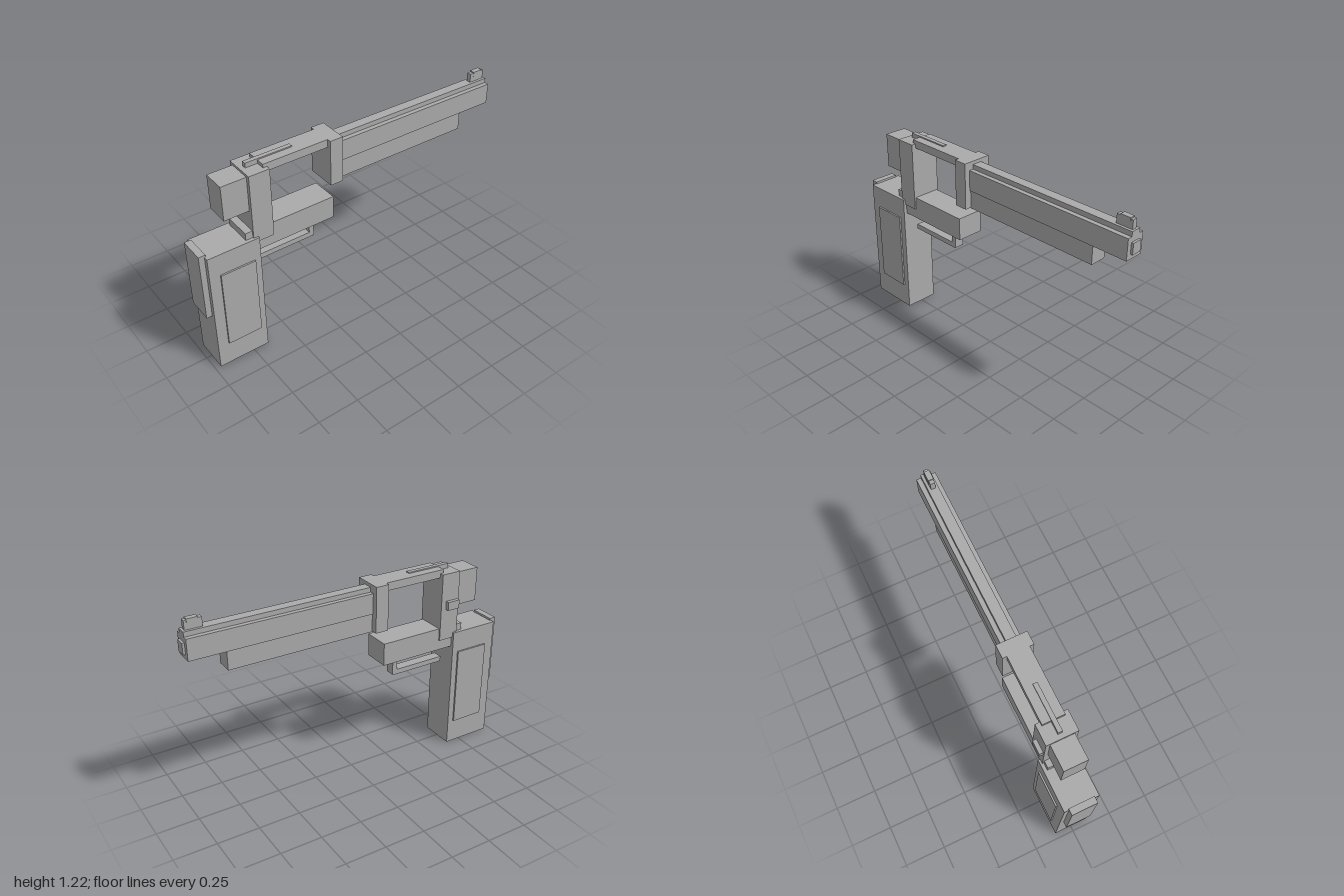
import * as THREE from 'three';

export function createModel() {
  const model = new THREE.Group();
  const grey = new THREE.MeshStandardMaterial({ color: 0xaaaaaa });
  grey.name = 'grey metal';

  // Block given by its limits on each axis
  function block(name, [x0, x1], [y0, y1], [z0, z1]) {
    const mesh = new THREE.Mesh(new THREE.BoxGeometry(x1 - x0, y1 - y0, z1 - z0), grey);
    mesh.position.set((x0 + x1) / 2, (y0 + y1) / 2, (z0 + z1) / 2);
    mesh.name = name;
    model.add(mesh);
  }
  // Block centred across the width
  const centred = (name, half, y, z) => block(name, [-half, half], y, z);

  // Handle
  centred('grip', 0.104, [0, 0.772], [0.657, 0.967]);
  centred('backstrap', 0.077, [0.367, 0.785], [0.96, 1]);
  for (const [name, s] of [['leftGripPanel', 1], ['rightGripPanel', -1]]) {
    const side = [s * 0.1, s * 0.114].sort((a, b) => a - b);
    block(name, side, [0.15, 0.64], [0.695, 0.904]);
  }

  // Open frame
  centred('lowerFrame', 0.083, [0.677, 0.815], [0.17, 0.728]);
  centred('rearFrame', 0.092, [0.74, 1.157], [0.562, 0.685]);
  centred('topStrap', 0.065, [1.13, 1.178], [0.185, 0.585]);
  centred('frontFrame', 0.09, [0.9, 1.178], [0.107, 0.188]);
  centred('hammer', 0.069, [0.935, 1.143], [0.68, 0.833]);
  block('latch', [-0.115, -0.085], [0.935, 0.987], [0.595, 0.675]);
  centred('rearSight', 0.013, [1.15, 1.185], [0.377, 0.657]);

  // Barrel group
  centred('barrel', 0.057, [1.007, 1.13], [-0.987, 0.12]);
  centred('barrelRib', 0.03, [1.12, 1.158], [-0.987, 0.12]);
  centred('underlug', 0.05, [0.896, 1.01], [-0.776, 0.13]);
  centred('muzzle', 0.03, [1.035, 1.1], [-1, -0.98]);
  centred('frontSightBase', 0.014, [1.15, 1.21], [-0.975, -0.877]);
  centred('frontSightBlade', 0.016, [1.185, 1.217], [-0.96, -0.9]);

  // Trigger guard
  centred('guardPost', 0.03, [0.565, 0.685], [0.27, 0.3]);
  centred('guardBar', 0.03, [0.562, 0.593], [0.275, 0.625]);

  return model;
}
